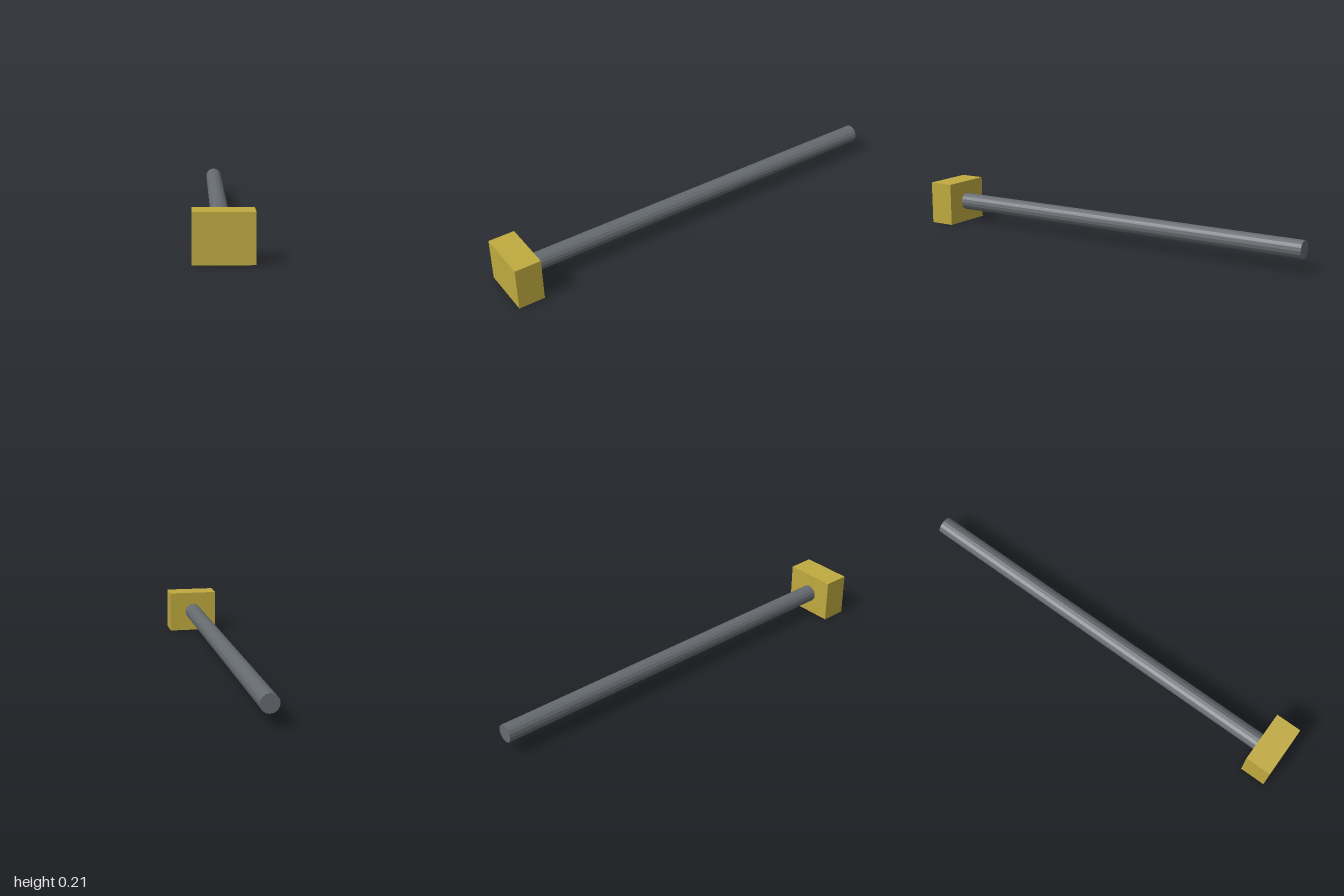
import * as THREE from 'three';

const WIDTH = 0.252, HEIGHT = 0.21, DEPTH = 0.125; // block
const RADIUS = 0.042, SIDES = 16; // rod

export function createModel() {
  const group = new THREE.Group();
  const add = (name, geometry, color, z) => {
    const mesh = new THREE.Mesh(geometry, new THREE.MeshStandardMaterial({ color, flatShading: true }));
    mesh.name = name;
    mesh.position.set(0, HEIGHT / 2, z);
    group.add(mesh);
  };

  // Block at the front end
  add('headBlock', new THREE.BoxGeometry(WIDTH, HEIGHT, DEPTH), 0xc0aa40, 1 - DEPTH / 2);

  // Long rod running from the back of the block to the rear
  const length = 2 - DEPTH;
  const rod = new THREE.CylinderGeometry(RADIUS, RADIUS, length, SIDES).rotateX(Math.PI / 2);
  add('rod', rod, 0x666b70, -1 + length / 2);

  return group;
}
